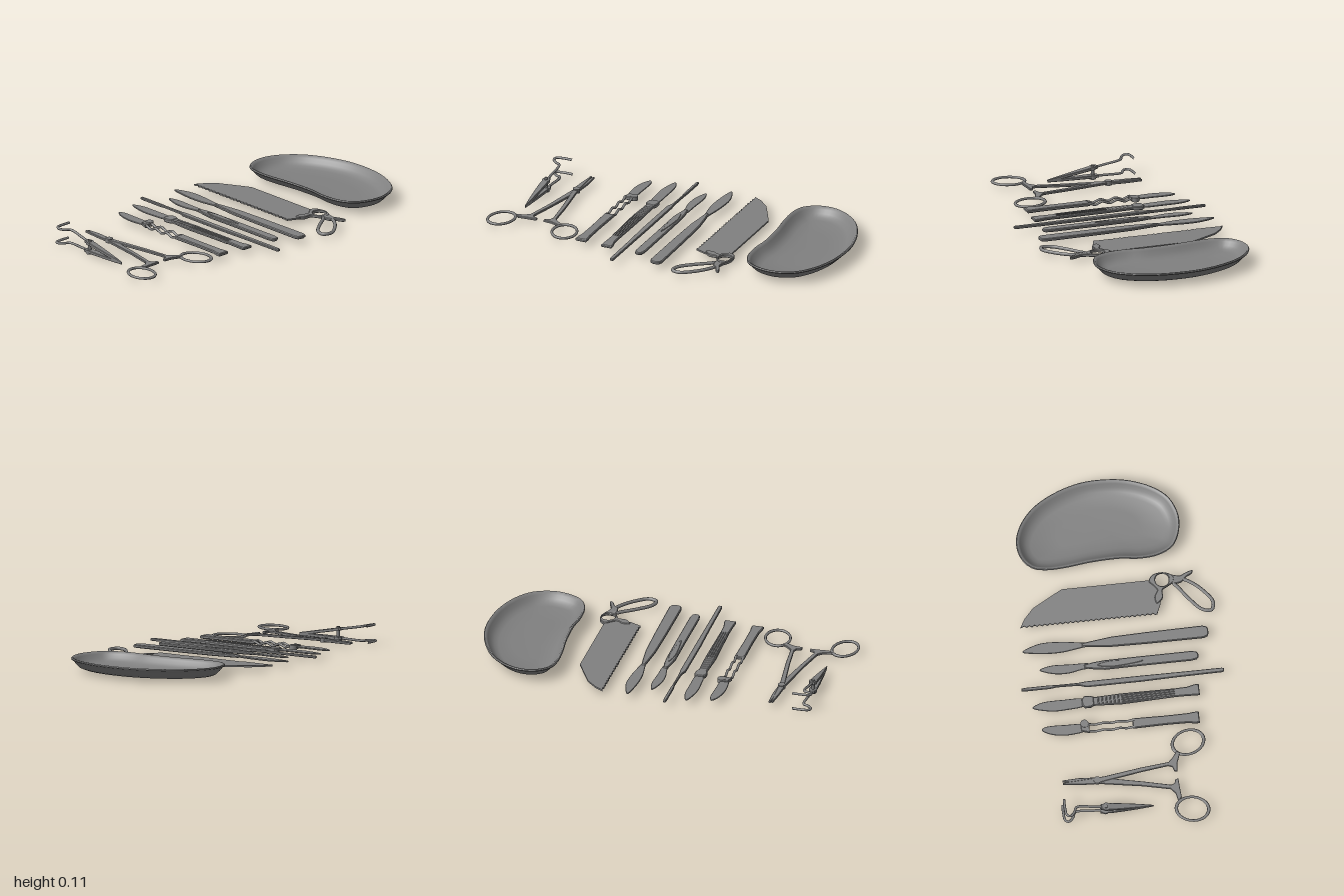
import * as THREE from 'three';
import { toCreasedNormals } from 'three/addons/utils/BufferGeometryUtils.js';

const steel = new THREE.MeshStandardMaterial({ color: 0x808080 });
steel.name = 'steel';

function add(parent, name, geo) {
  const mesh = new THREE.Mesh(geo, steel);
  mesh.name = name;
  parent.add(mesh);
  return mesh;
}

function group(parent, name) {
  const g = new THREE.Group();
  g.name = name;
  parent.add(g);
  return g;
}

// Closed outline in [x, z], optionally smoothed, as Vector2 with y = -z
function outline(pts, smooth) {
  const v = pts.map(([x, z]) => new THREE.Vector3(x, -z, 0));
  const out = smooth ? new THREE.CatmullRomCurve3(v, true).getPoints(smooth).slice(0, -1) : v;
  return out.map((p) => new THREE.Vector2(p.x, p.y));
}

// Flat piece lying between y0 and y1, with bevelled edges
function plate(parent, name, pts, y0, y1, { smooth = 0, bevel = 0.002, hole } = {}) {
  const shape = new THREE.Shape(outline(pts, smooth));
  if (hole) shape.holes.push(new THREE.Path().absarc(hole[0], -hole[1], hole[2], 0, Math.PI * 2));
  const geo = new THREE.ExtrudeGeometry(shape, {
    depth: y1 - y0 - 2 * bevel, bevelEnabled: bevel > 0, bevelThickness: bevel,
    bevelSize: bevel, bevelOffset: -bevel, bevelSegments: 1, curveSegments: 24,
  });
  geo.rotateX(-Math.PI / 2).translate(0, y0 + bevel, 0);
  return add(parent, name, toCreasedNormals(geo, 0.6));
}

// Outline from rows of [z, left x, right x]
const rows = (list) => [...list.map(([z, l]) => [l, z]), ...list.map(([z, , r]) => [r, z]).reverse()];

function wire(parent, name, pts, r, closed = false) {
  const curve = new THREE.CatmullRomCurve3(pts.map((p) => new THREE.Vector3(...p)), closed);
  return add(parent, name, new THREE.TubeGeometry(curve, 56, r, 8, closed));
}

function disc(parent, name, x, y, z, r, h) {
  return add(parent, name, new THREE.CylinderGeometry(r, r, h, 20).translate(x, y, z));
}

// Kidney-shaped tray: one rim curve, swept through inset rings
function tray(parent) {
  const rim = [[0.51, -0.345], [0.53, -0.425], [0.593, -0.478], [0.683, -0.494], [0.78, -0.462],
    [0.875, -0.382], [0.945, -0.264], [0.988, -0.13], [0.998, -0.01], [0.982, 0.136], [0.93, 0.27],
    [0.86, 0.355], [0.753, 0.398], [0.662, 0.392], [0.577, 0.35], [0.534, 0.27], [0.523, 0.163],
    [0.534, 0.056], [0.529, -0.104], [0.513, -0.238]];
  const curve = new THREE.CatmullRomCurve3(rim.map(([x, z]) => new THREE.Vector3(x, 0, z)), true);
  // [inset, height, scale towards the centre]
  const profile = [[0.075, 0.013, 0], [0.075, 0.013, 0.6], [0.065, 0.016, 1], [0.045, 0.024, 1],
    [0.024, 0.045, 1], [0.012, 0.062, 1], [0.002, 0.066, 1], [0, 0.072, 1], [0.004, 0.077, 1],
    [0.012, 0.076, 1], [0.022, 0.064, 1], [0.036, 0.045, 1], [0.056, 0.03, 1], [0.08, 0.022, 1],
    [0.08, 0.019, 0.6], [0.08, 0.018, 0]];
  const N = 80, pos = [], idx = [];
  profile.forEach(([inset, y, s], i) => {
    for (let j = 0; j < N; j++) {
      const p = curve.getPointAt(j / N), t = curve.getTangentAt(j / N);
      const x = p.x - t.z * inset, z = p.z + t.x * inset;
      pos.push(0.75 + (x - 0.75) * s, y, -0.04 + (z + 0.04) * s);
      if (i < profile.length - 1) {
        const a = i * N + j, b = i * N + ((j + 1) % N);
        idx.push(a, a + N, b, b, a + N, b + N);
      }
    }
  });
  const geo = new THREE.BufferGeometry();
  geo.setAttribute('position', new THREE.Float32BufferAttribute(pos, 3));
  geo.setIndex(idx);
  add(parent, 'kidneyTray', toCreasedNormals(geo, 0.9));
}

// Spring clip: two hooked arms meeting at a point and opening upwards
function hookClip(parent) {
  const g = group(parent, 'hookClip');
  for (const [side, slope] of [['lower', 0], ['upper', 0.185]]) {
    const arm = group(g, side + 'Arm');
    arm.position.set(0, 0.016, 0.088);
    arm.rotation.x = Math.atan(slope);
    const hook = [[-0.825, -0.402], [-0.875, -0.402], [-0.915, -0.395], [-0.922, -0.375],
      [-0.9, -0.352], [-0.874, -0.34], [-0.868, -0.31], [-0.873, -0.25], [-0.876, -0.17]];
    wire(arm, 'hook', hook.map(([x, z]) => [x, 0, z - 0.088]), 0.007);
    plate(arm, 'grip', rows([[-0.29, -0.892, -0.862], [-0.23, -0.896, -0.858], [-0.17, -0.894, -0.862],
      [-0.08, -0.889, -0.869], [0, -0.882, -0.878]]), -0.008, 0.008);
    disc(arm, 'boss', -0.877, 0, -0.262, 0.022, 0.016);
  }
  disc(g, 'pivotPost', -0.877, 0.04, -0.172, 0.01, 0.078);
  disc(g, 'pivotFoot', -0.877, 0.004, -0.172, 0.018, 0.008);
}

// Ring-handled forceps
function forceps(parent) {
  const g = group(parent, 'forceps');
  plate(g, 'leftShank', [[-0.689, -0.387], [-0.685, -0.3], [-0.69, -0.22], [-0.7, -0.15], [-0.742, 0.05],
    [-0.776, 0.195], [-0.77, 0.214], [-0.745, 0.222], [-0.745, 0.238], [-0.79, 0.24], [-0.85, 0.245],
    [-0.875, 0.225], [-0.825, 0.214], [-0.798, 0.19], [-0.765, 0.04], [-0.732, -0.16], [-0.72, -0.22],
    [-0.698, -0.387]], 0.02, 0.033);
  plate(g, 'rightShank', [[-0.712, -0.387], [-0.722, -0.3], [-0.727, -0.22], [-0.715, -0.15],
    [-0.683, 0.05], [-0.665, 0.19], [-0.673, 0.212], [-0.7, 0.222], [-0.7, 0.238], [-0.655, 0.241],
    [-0.6, 0.262], [-0.585, 0.245], [-0.62, 0.22], [-0.645, 0.195], [-0.661, 0.04], [-0.69, -0.16],
    [-0.695, -0.22], [-0.704, -0.387]], 0.022, 0.035);
  disc(g, 'boxJoint', -0.708, 0.028, -0.2, 0.02, 0.024);
  for (const [name, x, z, turn] of [['leftRing', -0.924, 0.296, 0.2], ['rightRing', -0.54, 0.312, -0.3]]) {
    const ring = add(g, name, new THREE.TorusGeometry(0.08, 0.0085, 8, 40).rotateX(Math.PI / 2));
    ring.scale.set(0.85, 0.85, 1.1);
    ring.rotation.y = -turn;
    ring.position.set(x, 0.027, z);
  }
}

// Folding scalpel with an open, wavy frame
function openScalpel(parent) {
  const g = group(parent, 'openScalpel');
  plate(g, 'blade', [[-0.39, -0.468], [-0.376, -0.45], [-0.374, -0.34], [-0.385, -0.23], [-0.416, -0.23],
    [-0.433, -0.31], [-0.43, -0.38], [-0.412, -0.44]], 0.03, 0.037, { smooth: 48 });
  plate(g, 'neck', rows([[-0.255, -0.418, -0.372], [-0.21, -0.432, -0.376]]), 0.024, 0.044);
  disc(g, 'hinge', -0.38, 0.034, -0.235, 0.022, 0.024);
  for (const x of [-0.424, -0.385]) {
    const pts = [];
    for (let i = 0; i <= 12; i++) pts.push([x, 0.033 + 0.007 * Math.cos(i * Math.PI / 2), -0.22 + i * 0.0215]);
    wire(g, 'frameRod', pts, 0.007);
  }
  plate(g, 'handle', rows([[0.025, -0.432, -0.376], [0.2, -0.429, -0.379], [0.33, -0.431, -0.378],
    [0.36, -0.438, -0.374], [0.388, -0.438, -0.374]]), 0.024, 0.042, { bevel: 0.004 });
}

// Scalpel with a grooved grip
function ribbedScalpel(parent) {
  const g = group(parent, 'ribbedScalpel');
  plate(g, 'blade', [[-0.258, -0.505], [-0.235, -0.46], [-0.229, -0.34], [-0.238, -0.22], [-0.272, -0.22],
    [-0.288, -0.32], [-0.287, -0.41]], 0.03, 0.037, { smooth: 48 });
  plate(g, 'collar', rows([[-0.235, -0.272, -0.238], [-0.22, -0.287, -0.222], [-0.19, -0.287, -0.222],
    [-0.17, -0.277, -0.23]]), 0.022, 0.044, { bevel: 0.004 });
  plate(g, 'handle', rows([[-0.18, -0.278, -0.232], [-0.02, -0.286, -0.226], [0.28, -0.275, -0.228],
    [0.34, -0.276, -0.226], [0.38, -0.278, -0.216], [0.405, -0.278, -0.216]]), 0.025, 0.041, { bevel: 0.004 });
  for (let i = 0; i < 4; i++) {
    const x = -0.274 + i * 0.012;
    plate(g, 'gripRib', rows([[-0.02, x - 0.003, x + 0.003], [0.27, x + 0.001, x + 0.005]]), 0.023, 0.044);
  }
  for (let i = 0; i < 6; i++) {
    const z = -0.15 + i * 0.022;
    plate(g, 'crossRib', rows([[z, -0.277, -0.235], [z + 0.008, -0.277, -0.235]]), 0.024, 0.043);
  }
}

function plainTools(parent) {
  // Slim probe
  const probe = group(parent, 'probe');
  plate(probe, 'shaft', rows([[-0.553, -0.154, -0.142], [-0.53, -0.157, -0.139], [-0.4, -0.157, -0.139],
    [-0.36, -0.152, -0.141], [-0.24, -0.155, -0.141], [-0.2, -0.168, -0.137], [0.1, -0.168, -0.136],
    [0.3, -0.163, -0.137], [0.54, -0.16, -0.137], [0.55, -0.156, -0.141]]), 0.027, 0.041, { bevel: 0.003 });

  // Small scalpel with a decorated handle
  const small = group(parent, 'smallScalpel');
  plate(small, 'blade', [[-0.046, -0.443], [-0.028, -0.39], [-0.03, -0.28], [-0.04, -0.16], [-0.062, -0.16],
    [-0.066, -0.21], [-0.08, -0.29], [-0.075, -0.37]], 0.031, 0.038, { smooth: 48 });
  plate(small, 'handle', rows([[-0.2, -0.06, -0.042], [-0.15, -0.07, -0.032], [-0.09, -0.079, -0.027],
    [0.1, -0.077, -0.025], [0.38, -0.077, -0.024], [0.41, -0.072, -0.029], [0.421, -0.06, -0.042]]),
  0.027, 0.043, { bevel: 0.004 });
  plate(small, 'handleInlay', [[-0.052, -0.13], [-0.036, -0.07], [-0.042, 0.06], [-0.052, 0.12],
    [-0.062, 0.06], [-0.068, -0.07]], 0.025, 0.046, { smooth: 36 });

  // Large pointed knife
  const knife = group(parent, 'largeKnife');
  plate(knife, 'blade', [[0.068, -0.525], [0.105, -0.43], [0.104, -0.31], [0.086, -0.18], [0.084, -0.13],
    [0.062, -0.13], [0.062, -0.18], [0.044, -0.31], [0.047, -0.42]], 0.03, 0.038, { smooth: 56 });
  plate(knife, 'handle', rows([[-0.2, 0.064, 0.082], [-0.15, 0.059, 0.09], [-0.04, 0.049, 0.104],
    [0.15, 0.046, 0.11], [0.46, 0.046, 0.115], [0.482, 0.054, 0.108], [0.489, 0.07, 0.092]]),
  0.026, 0.043, { bevel: 0.004 });
}

// Bone saw: toothed blade, finger ring, spur and open loop handle
function saw(parent) {
  const g = group(parent, 'boneSaw');
  const blade = [[0.208, -0.521], [0.256, -0.494], [0.315, -0.44], [0.368, -0.345], [0.406, -0.275],
    [0.407, 0.2], [0.39, 0.235], [0.34, 0.255], [0.27, 0.25], [0.21, 0.225]];
  for (let i = 0; i < 26; i++) {
    const z = 0.215 - i * 0.028;
    blade.push([0.208, z], [0.217, z - 0.014]);
  }
  plate(g, 'blade', blade, 0.025, 0.034, { bevel: 0 });
  plate(g, 'bladeClamp', [[0.27, 0.23], [0.31, 0.222], [0.345, 0.24], [0.37, 0.225], [0.4, 0.2],
    [0.43, 0.215], [0.445, 0.255], [0.44, 0.3], [0.415, 0.335], [0.385, 0.33], [0.362, 0.295],
    [0.345, 0.268], [0.3, 0.265]], 0.021, 0.039, { smooth: 60, bevel: 0.003, hole: [0.403, 0.272, 0.038] });
  plate(g, 'spur', [[0.38, 0.31], [0.425, 0.315], [0.416, 0.37], [0.43, 0.4], [0.44, 0.442], [0.424, 0.435],
    [0.405, 0.4], [0.38, 0.375]], 0.022, 0.038, { smooth: 40, bevel: 0.003 });
  wire(g, 'handleLoop', [[0.385, 0.33], [0.35, 0.355], [0.275, 0.41], [0.213, 0.47], [0.204, 0.52],
    [0.25, 0.533], [0.315, 0.49], [0.37, 0.43], [0.397, 0.375]].map(([x, z]) => [x, 0.03, z]), 0.0095, true);
}

export function createModel() {
  const model = new THREE.Group();
  model.name = 'surgicalInstrumentSet';
  for (const build of [hookClip, forceps, openScalpel, ribbedScalpel, plainTools, saw, tray]) build(model);
  return model;
}
